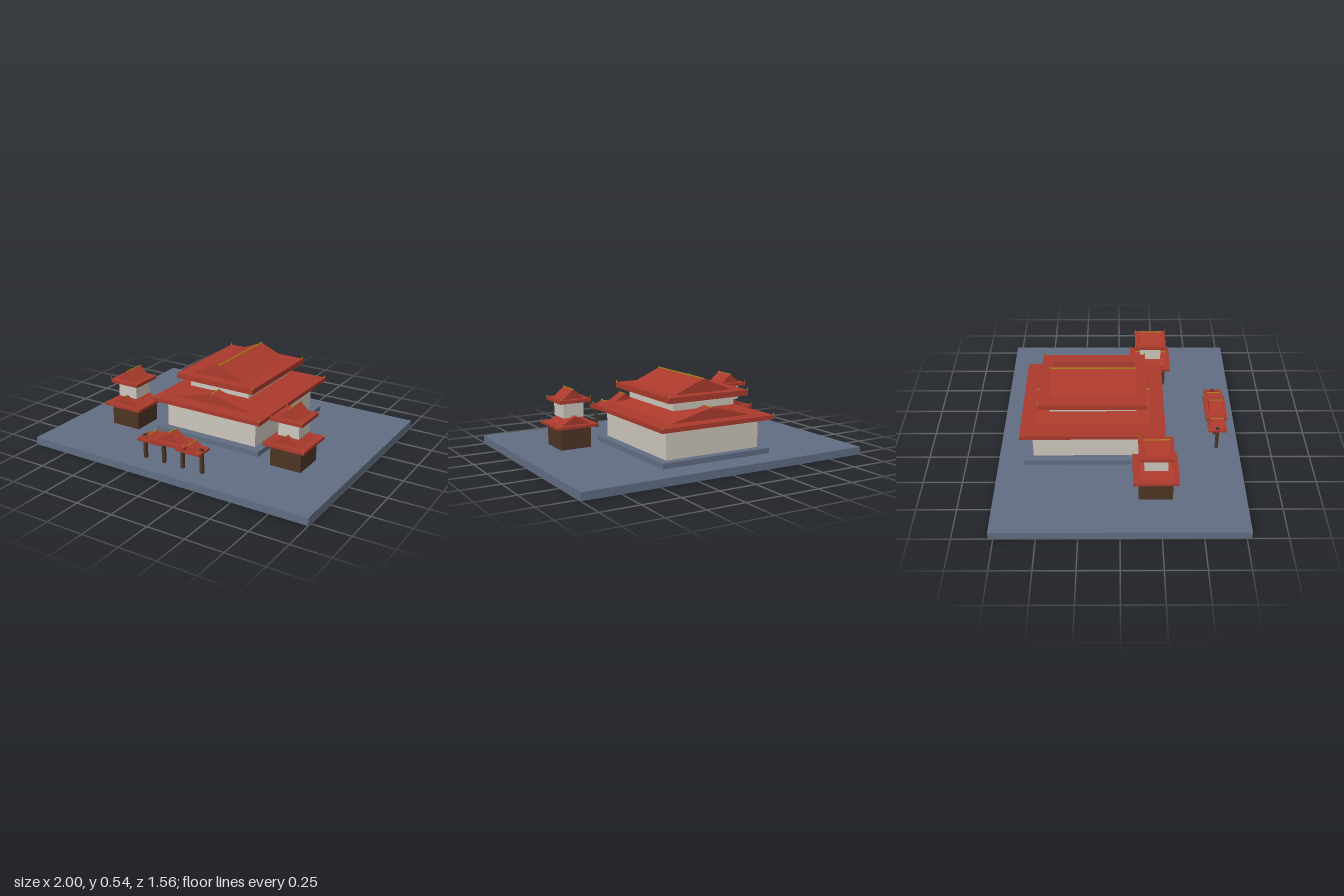
import * as THREE from 'three';

const material = (name, color) => {
  const m = new THREE.MeshStandardMaterial({ color });
  m.name = name;
  return m;
};

export function createModel() {
  const stone = material('slate stone', 0x616d83);
  const tile = material('red roof tile', 0xab3a2c);
  const plaster = material('pale plaster', 0xcdc7bc);
  const wood = material('dark wood', 0x4c3523);
  const gold = material('gilded trim', 0xa8861c);

  const add = (parent, name, geometry, mat, x = 0, y = 0, z = 0) => {
    const mesh = new THREE.Mesh(geometry, mat);
    mesh.name = name;
    mesh.position.set(x, y, z);
    parent.add(mesh);
    return mesh;
  };

  // Box given by half sizes in x and z and by its bottom and top heights
  const block = (parent, name, mat, hx, hz, y0, y1, x = 0, z = 0) =>
    add(parent, name, new THREE.BoxGeometry(hx * 2, y1 - y0, hz * 2), mat, x, (y0 + y1) / 2, z);

  const group = (parent, name, x, z) => {
    const g = new THREE.Group();
    g.name = name;
    g.position.set(x, 0, z);
    parent.add(g);
    return g;
  };

  // Eave slab, gabled prism, ridge bar and four corner finials
  const roof = (parent, name, o) => {
    const g = group(parent, name, o.x || 0, 0);
    block(g, 'eaveSlab', tile, o.hx, o.hz, o.y0, o.y1);
    const gable = new THREE.Shape([
      new THREE.Vector2(-o.gx, 0), new THREE.Vector2(o.gx, 0), new THREE.Vector2(0, o.peak - o.y1),
    ]);
    const prism = new THREE.ExtrudeGeometry(gable, { depth: o.gz * 2, bevelEnabled: false });
    add(g, 'gable', prism, tile, 0, o.y1, -o.gz);
    const r = o.trim;
    block(g, 'ridge', gold, r * 0.8, o.gz + 0.003, o.peak - r, o.peak + r * 0.6);
    for (const sx of [-1, 1]) for (const sz of [-1, 1]) {
      add(g, 'cornerFinial', new THREE.ConeGeometry(r * 0.9, 0.022, 6), gold,
        sx * (o.hx - 0.003), o.y1 + 0.01, sz * (o.hz - 0.003));
    }
    return g;
  };

  const model = new THREE.Group();
  model.name = 'templeCourtyard';
  block(model, 'courtyard', stone, 1, 0.78, 0, 0.05);

  // Main hall with two storeys
  const hall = group(model, 'mainHall', 0, -0.17);
  block(hall, 'plinth', stone, 0.388, 0.44, 0.05, 0.085);
  block(hall, 'lowerWalls', plaster, 0.335, 0.385, 0.085, 0.27);
  roof(hall, 'lowerRoof', { hx: 0.405, hz: 0.46, y0: 0.27, y1: 0.297, gx: 0.284, gz: 0.365, peak: 0.37, trim: 0.006 });
  block(hall, 'upperWalls', plaster, 0.222, 0.278, 0.355, 0.415);
  roof(hall, 'upperRoof', { hx: 0.288, hz: 0.343, y0: 0.415, y1: 0.45, gx: 0.205, gz: 0.272, peak: 0.535, trim: 0.006 });

  // Pair of side towers
  for (const [side, name] of [[1, 'leftTower'], [-1, 'rightTower']]) {
    const tower = group(model, name, side * 0.61, 0.22);
    block(tower, 'towerBase', wood, 0.105, 0.105, 0.05, 0.19);
    roof(tower, 'lowerRoof', { hx: 0.141, hz: 0.141, y0: 0.19, y1: 0.208, gx: 0.1, gz: 0.105, peak: 0.265, trim: 0.004 });
    block(tower, 'towerRoom', plaster, 0.071, 0.072, 0.25, 0.349);
    roof(tower, 'upperRoof', { hx: 0.108, hz: 0.108, y0: 0.349, y1: 0.371, gx: 0.074, gz: 0.075, peak: 0.433, trim: 0.004 });
  }

  // Front gate: four posts carrying three small roofs
  const gate = group(model, 'frontGate', 0, 0.637);
  for (const x of [-0.21, -0.07, 0.07, 0.21]) {
    block(gate, 'gatePost', wood, 0.01, 0.01, 0.05, 0.21, x);
  }
  for (const x of [-0.145, 0.145]) {
    roof(gate, 'sideRoof', { x, hx: 0.085, hz: 0.06, y0: 0.186, y1: 0.2, gx: 0.06, gz: 0.042, peak: 0.236, trim: 0.004 });
  }
  roof(gate, 'centreRoof', { hx: 0.127, hz: 0.071, y0: 0.205, y1: 0.223, gx: 0.087, gz: 0.043, peak: 0.28, trim: 0.004 });

  return model;
}
